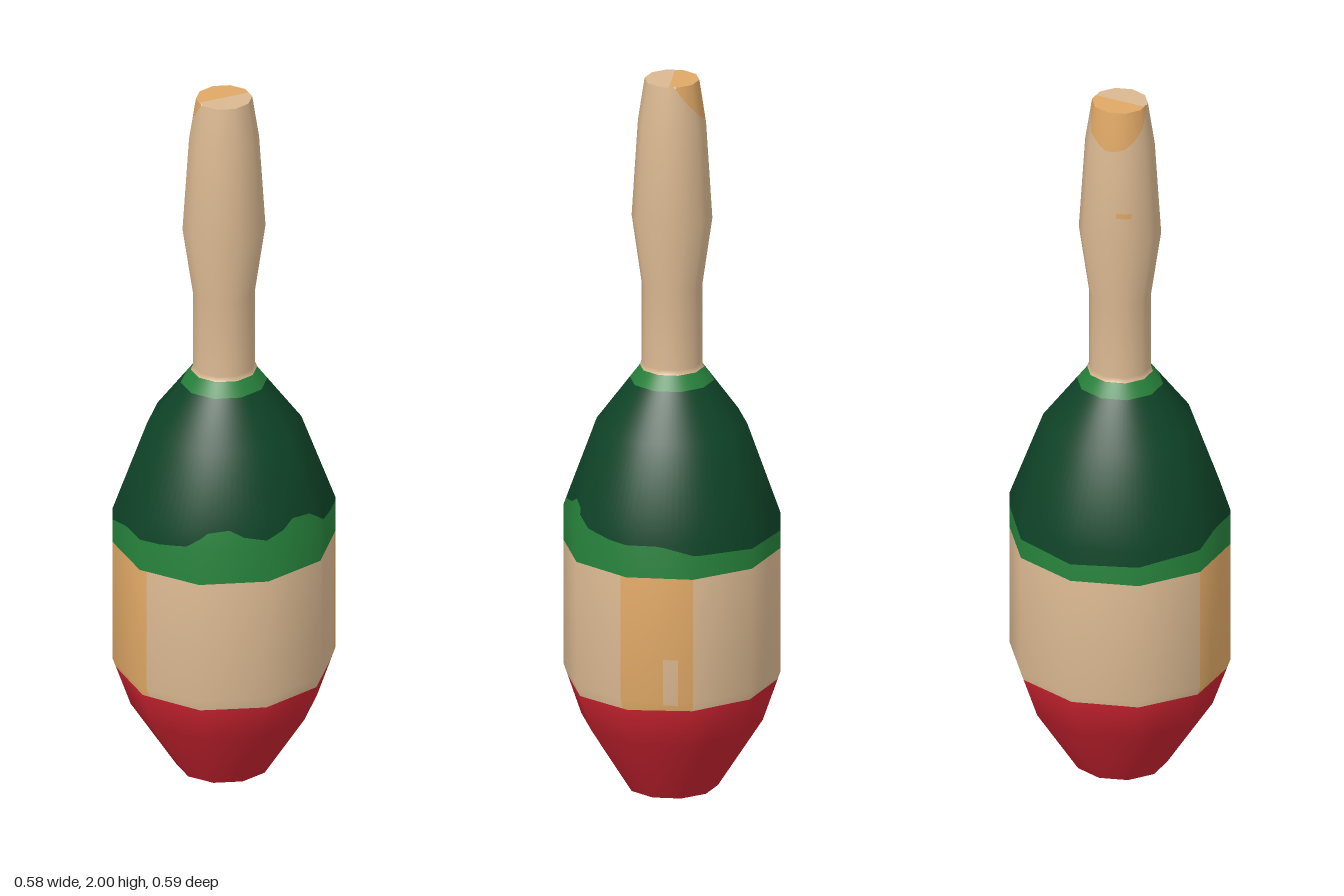
import * as THREE from 'three';

// Turned profile, bottom to top: [radius, height]
const profile = [
  [0.124, 0], [0.245, 0.19], [0.293, 0.33], [0.293, 0.78], [0.203, 1.03],
  [0.088, 1.185], [0.082, 1.2], [0.082, 1.42], [0.109, 1.61], [0.092, 1.88], [0.074, 2],
];
const SIDES = 10, STEP = 4, WIDEN = 1.03;
const rad = THREE.MathUtils.degToRad;

// Outward slope at each profile point, averaged from its neighbours
const slopes = profile.map((p, i) => {
  const a = profile[Math.max(i - 1, 0)], b = profile[Math.min(i + 1, profile.length - 1)];
  return Math.atan2(a[0] - b[0], b[1] - a[1]);
});

function sample(y) {
  let i = 0;
  while (i < profile.length - 2 && y > profile[i + 1][1]) i++;
  const t = (y - profile[i][1]) / (profile[i + 1][1] - profile[i][1]);
  return {
    r: THREE.MathUtils.lerp(profile[i][0], profile[i + 1][0], t),
    slope: THREE.MathUtils.lerp(slopes[i], slopes[i + 1], t),
  };
}

// Point on the ten-sided ring of radius r, angle measured from the front
function ringPoint(deg, r) {
  const side = 360 / SIDES, k = Math.floor(deg / side), t = deg / side - k;
  const a = rad(k * side), b = rad((k + 1) * side);
  return [
    r * WIDEN * THREE.MathUtils.lerp(Math.sin(a), Math.sin(b), t),
    r * THREE.MathUtils.lerp(Math.cos(a), Math.cos(b), t),
  ];
}

// Smooth strip of the turned surface between two edge heights
function band(name, material, low, high, from = 0, to = 360, lift = 0) {
  const at = (f, d) => (typeof f === 'function' ? f(d) : f);
  const rows = profile.length + 2, cols = (to - from) / STEP;
  const pos = [], nor = [], idx = [];
  for (let i = 0; i <= cols; i++) {
    const d = from + i * STEP, lo = at(low, d), hi = at(high, d);
    const heights = [lo, ...profile.map((p) => THREE.MathUtils.clamp(p[1], lo, hi)), hi];
    heights.forEach((y, j) => {
      const { r, slope } = sample(y), [x, z] = ringPoint(d, r + lift);
      pos.push(x, y, z);
      nor.push(Math.sin(rad(d)) * Math.cos(slope), Math.sin(slope), Math.cos(rad(d)) * Math.cos(slope));
      if (i < cols && j < rows - 1) {
        const a = i * rows + j, b = a + rows;
        if (heights[j + 1] > y || at(high, d + STEP) > at(low, d + STEP)) idx.push(a, b, b + 1, a, b + 1, a + 1);
      }
    });
  }
  const g = new THREE.BufferGeometry();
  g.setAttribute('position', new THREE.Float32BufferAttribute(pos, 3));
  g.setAttribute('normal', new THREE.Float32BufferAttribute(nor, 3));
  g.setIndex(idx);
  const mesh = new THREE.Mesh(g, material);
  mesh.name = name;
  return mesh;
}

// Flat end cap covering part of the ring
function cap(name, material, y, from, to, up) {
  const pts = [], r = sample(y).r;
  for (let d = from; d <= to && d < from + 360; d += 2) {
    const [x, z] = ringPoint(d, r);
    pts.push(new THREE.Vector2(x, up ? -z : z));
  }
  const g = new THREE.ShapeGeometry(new THREE.Shape(pts));
  g.rotateX(up ? -Math.PI / 2 : Math.PI / 2).translate(0, y, 0);
  const mesh = new THREE.Mesh(g, material);
  mesh.name = name;
  return mesh;
}

export function createModel() {
  const paint = (name, color) => {
    const m = new THREE.MeshStandardMaterial({ color });
    m.name = name;
    return m;
  };
  const wood = paint('pale wood', 0xdab891), grain = paint('amber wood', 0xdfa866);
  const red = paint('red', 0xc8222f), dark = paint('dark green', 0x0f4428), light = paint('light green', 0x26803b);

  // Hand-painted edges
  const redEdge = (d) => 0.302 - 0.006 * Math.cos(rad(d));
  const greenKeys = [[0, 0.8], [12, 0.81], [20, 0.83], [32, 0.825], [44, 0.785], [60, 0.772], [90, 0.77], [110, 0.745], [150, 0.735], [180, 0.73]];
  const waveEdge = (deg) => {
    const d = deg > 180 ? 360 - deg : deg;
    const i = Math.max(1, greenKeys.findIndex((k) => d <= k[0]));
    const [a, b] = [greenKeys[i - 1], greenKeys[i]];
    return THREE.MathUtils.mapLinear(d, a[0], b[0], a[1], b[1]);
  };
  const tipEdge = (d) => 2 - 0.11 * Math.max(0, -Math.cos(rad(d - 12)));

  const model = new THREE.Group();
  model.name = 'float';
  model.add(
    // Painted body
    cap('bottomCap', red, 0, 0, 360, false),
    band('redBase', red, 0, redEdge),
    band('frontWoodRight', wood, redEdge, 0.68, 0, 68),
    band('frontWoodLeft', wood, redEdge, 0.68, 292, 360),
    band('backWood', wood, redEdge, 0.68, 108, 252),
    band('sidePanelLeft', grain, redEdge, 0.68, 68, 108),
    band('sidePanelRight', grain, redEdge, 0.68, 252, 292),
    band('woodFleck', wood, 0.32, 0.45, 92, 100, 0.002),
    band('lightGreenBand', light, 0.68, waveEdge),
    band('darkGreenShoulder', dark, waveEdge, 1.15),
    band('collar', light, 1.15, 1.187),
    // Handle
    band('handle', wood, 1.187, tipEdge),
    band('handleTipPatch', grain, tipEdge, 2, 104, 280),
    band('handleStreak', grain, 1.695, 1.71, 200, 224, 0.002),
    cap('topBack', grain, 2, 90, 270, true),
    cap('topFront', wood, 2, -90, 90, true),
  );
  return model;
}
